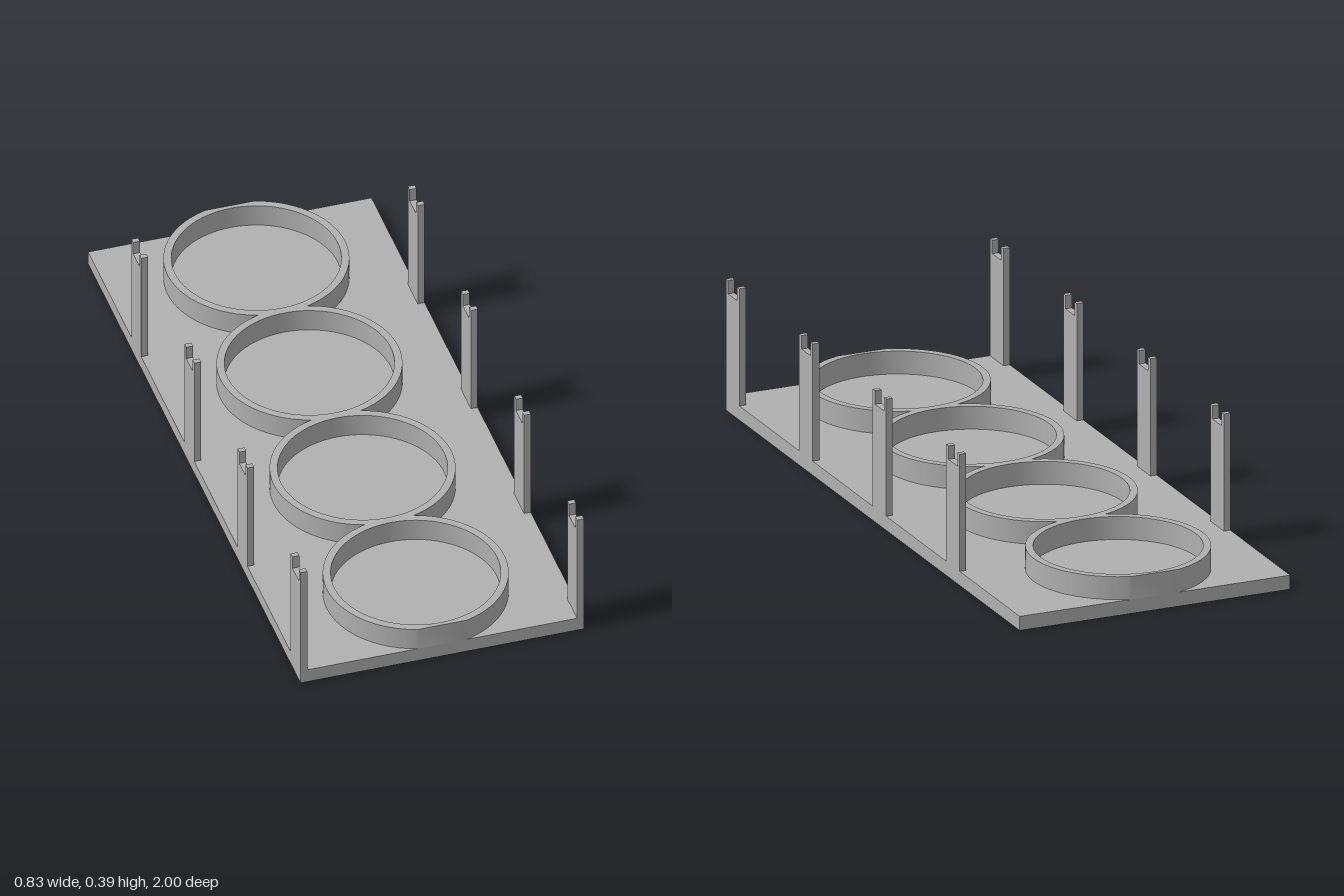
import * as THREE from 'three';
import { toCreasedNormals } from 'three/addons/utils/BufferGeometryUtils.js';

const HALF_W = 0.415, BASE_H = 0.042;
const RING_TOP = 0.11, OUTER_R = 0.26, INNER_R = 0.238, PITCH = 0.5;
const POST_T = 0.02, POST_W = 0.092, POST_TOP = 0.39, NOTCH_Y = 0.35, PRONG = 0.016;

// Four rings fused in a row, trimmed flat at both ends of the base
function ringRowGeometry() {
  const centres = [0, 1, 2, 3].map(i => (i - 1.5) * PITCH);
  const a = Math.asin((PITCH / 2) / OUTER_R);
  const shape = new THREE.Shape();
  centres.forEach(c => shape.absarc(0, c, OUTER_R, -a, a, false));
  [...centres].reverse().forEach(c => shape.absarc(0, c, OUTER_R, Math.PI - a, Math.PI + a, false));
  shape.closePath();
  for (const c of centres) {
    const hole = new THREE.Path();
    hole.absarc(0, c, INNER_R, 0, Math.PI * 2, true);
    shape.holes.push(hole);
  }
  const geo = new THREE.ExtrudeGeometry(shape, {
    depth: RING_TOP - BASE_H, bevelEnabled: false, curveSegments: 40,
  });
  geo.rotateX(-Math.PI / 2);
  return toCreasedNormals(geo, 0.5);
}

// Upright with a square notch in its top, front face at z = 0, centred in x
function postGeometry() {
  const shape = new THREE.Shape([
    [-POST_W, BASE_H], [0, BASE_H], [0, POST_TOP], [-PRONG, POST_TOP],
    [-PRONG, NOTCH_Y], [PRONG - POST_W, NOTCH_Y],
    [PRONG - POST_W, POST_TOP], [-POST_W, POST_TOP],
  ].map(([z, y]) => new THREE.Vector2(z, y)));
  const geo = new THREE.ExtrudeGeometry(shape, { depth: POST_T, bevelEnabled: false });
  geo.rotateY(-Math.PI / 2);
  geo.translate(POST_T / 2, 0, 0);
  return geo;
}

export function createModel() {
  const model = new THREE.Group();
  model.name = 'ringTray';
  const grey = new THREE.MeshStandardMaterial({ color: 0xb0b0b0 });
  grey.name = 'grey';

  const add = (name, geo, x, y, z) => {
    const mesh = new THREE.Mesh(geo, grey);
    mesh.name = name;
    mesh.position.set(x, y, z);
    model.add(mesh);
  };

  // Flat base plate
  add('base', new THREE.BoxGeometry(HALF_W * 2, BASE_H, 2), 0, BASE_H / 2, 0);

  // Row of holder rings
  add('holderRings', ringRowGeometry(), 0, BASE_H, 0);

  // Notched posts along both long edges
  const post = postGeometry();
  for (const side of [-1, 1]) {
    for (let i = 0; i < 4; i++) {
      add(`${side > 0 ? 'left' : 'right'}Post${i + 1}`, post,
        side * (HALF_W - POST_T / 2), 0, 1 - i * PITCH);
    }
  }
  return model;
}
